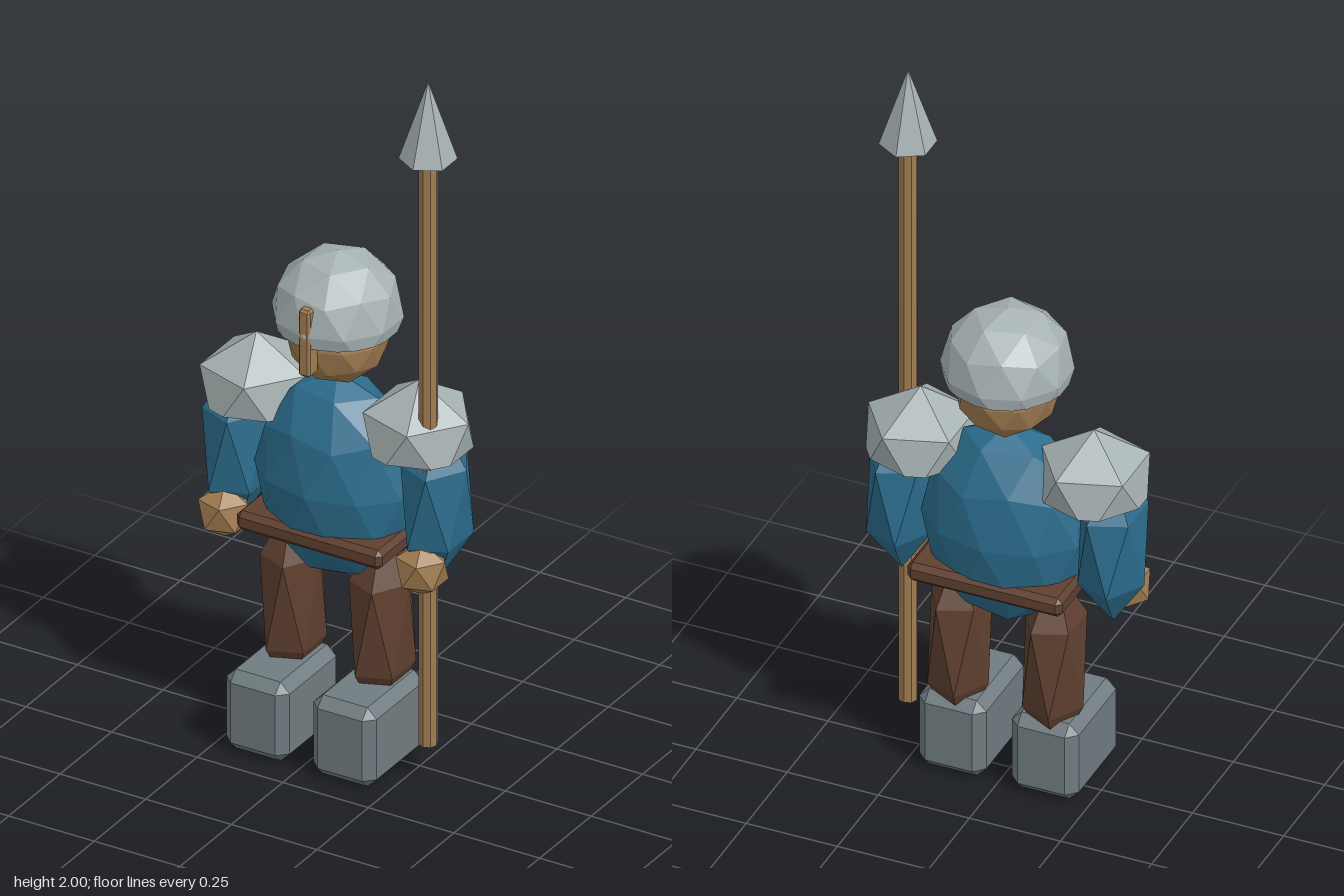
import * as THREE from 'three';
import { ConvexGeometry } from 'three/addons/geometries/ConvexGeometry.js';

const mat = (name, color) => {
  const m = new THREE.MeshStandardMaterial({ color });
  m.name = name;
  return m;
};

// Faceted copy of a geometry
function faceted(geo) {
  const g = geo.index ? geo.toNonIndexed() : geo;
  g.computeVertexNormals();
  return g;
}

// Icosphere standing on a pole, with a ring corner towards +x, stretched to the given radii
function ico(detail, rx, ry, rz) {
  const g = new THREE.IcosahedronGeometry(1, detail);
  g.rotateX(-Math.atan((1 + Math.sqrt(5)) / 2));
  g.rotateY(Math.PI / 2);
  g.scale(rx, ry, rz);
  return faceted(g);
}

// Icosphere with everything below y = cut sliced off
function icoCap(detail, r, cut) {
  const p = ico(detail, r, r, r).attributes.position;
  const found = new Map();
  const add = (v) => found.set(v.toArray().map((n) => Math.round(n * 1e4)).join(), v);
  for (let i = 0; i < p.count; i += 3) {
    for (let k = 0; k < 3; k++) {
      const a = new THREE.Vector3().fromBufferAttribute(p, i + k);
      const b = new THREE.Vector3().fromBufferAttribute(p, i + (k + 1) % 3);
      if (a.y >= cut) add(a);
      if ((a.y - cut) * (b.y - cut) < 0) add(a.clone().lerp(b, (cut - a.y) / (b.y - a.y)));
    }
  }
  return new ConvexGeometry([...found.values()]);
}

// Box with every edge chamfered by c
function chamferBox(w, h, d, c) {
  const pts = [];
  for (const x of [-1, 1]) for (const y of [-1, 1]) for (const z of [-1, 1]) {
    for (let k = 0; k < 3; k++) {
      pts.push(new THREE.Vector3(
        x * (w / 2 - (k === 0 ? 0 : c)),
        y * (h / 2 - (k === 1 ? 0 : c)),
        z * (d / 2 - (k === 2 ? 0 : c))));
    }
  }
  return new ConvexGeometry(pts);
}

export function createModel() {
  const group = new THREE.Group();
  group.name = 'guard';

  const blue = mat('blue cloth', 0x2b6c8c);
  const steel = mat('pale steel', 0xa7b2b3);
  const iron = mat('dark iron', 0x707c80);
  const tan = mat('tan skin and wood', 0xa07c50);
  const brown = mat('brown leather', 0x5f4030);

  const part = (name, geo, material, x, y, z) => {
    const m = new THREE.Mesh(geo, material);
    m.name = name;
    m.position.set(x, y, z);
    group.add(m);
    return m;
  };
  const Z = -0.018; // depth of the body axis

  // Torso and belt
  part('torso', ico(1, 0.225, 0.288, 0.163), blue, 0, 0.763, Z);
  part('belt', chamferBox(0.425, 0.055, 0.3, 0.014), brown, 0, 0.633, Z);

  // Head, helmet and nose guard
  part('head', ico(1, 0.136, 0.136, 0.136), tan, 0, 1.172, Z);
  part('helmet', icoCap(1, 0.17, -0.035), steel, 0, 1.23, Z);
  part('noseGuard', chamferBox(0.034, 0.19, 0.045, 0.006), tan, 0, 1.21, 0.127);

  // Limbs: the same shapes are moved, not mirrored, to each side
  for (const [side, s] of [['left', 1], ['right', -1]]) {
    part(side + 'ShoulderPad', icoCap(0, 0.16, -0.026), steel, s * 0.238, 0.938, Z);
    part(side + 'Arm', ico(0, 0.096, 0.235, 0.12), blue, s * 0.29, 0.77, Z);
    part(side + 'Hand', ico(0, 0.075, 0.075, 0.075), tan, s * 0.288, 0.605, 0.053);
    part(side + 'Leg', ico(0, 0.088, 0.28, 0.11), brown, s * 0.13, 0.375, Z);
    part(side + 'Boot', chamferBox(0.184, 0.226, 0.28, 0.027), iron, s * 0.127, 0.113, 0.045);
  }

  // Spear
  part('spearShaft', faceted(new THREE.CylinderGeometry(0.025, 0.025, 1.68, 8)), tan, 0.3, 0.94, 0.043);
  part('spearHead', faceted(new THREE.ConeGeometry(0.074, 0.22, 6)), steel, 0.3, 1.89, 0.043);

  return group;
}
